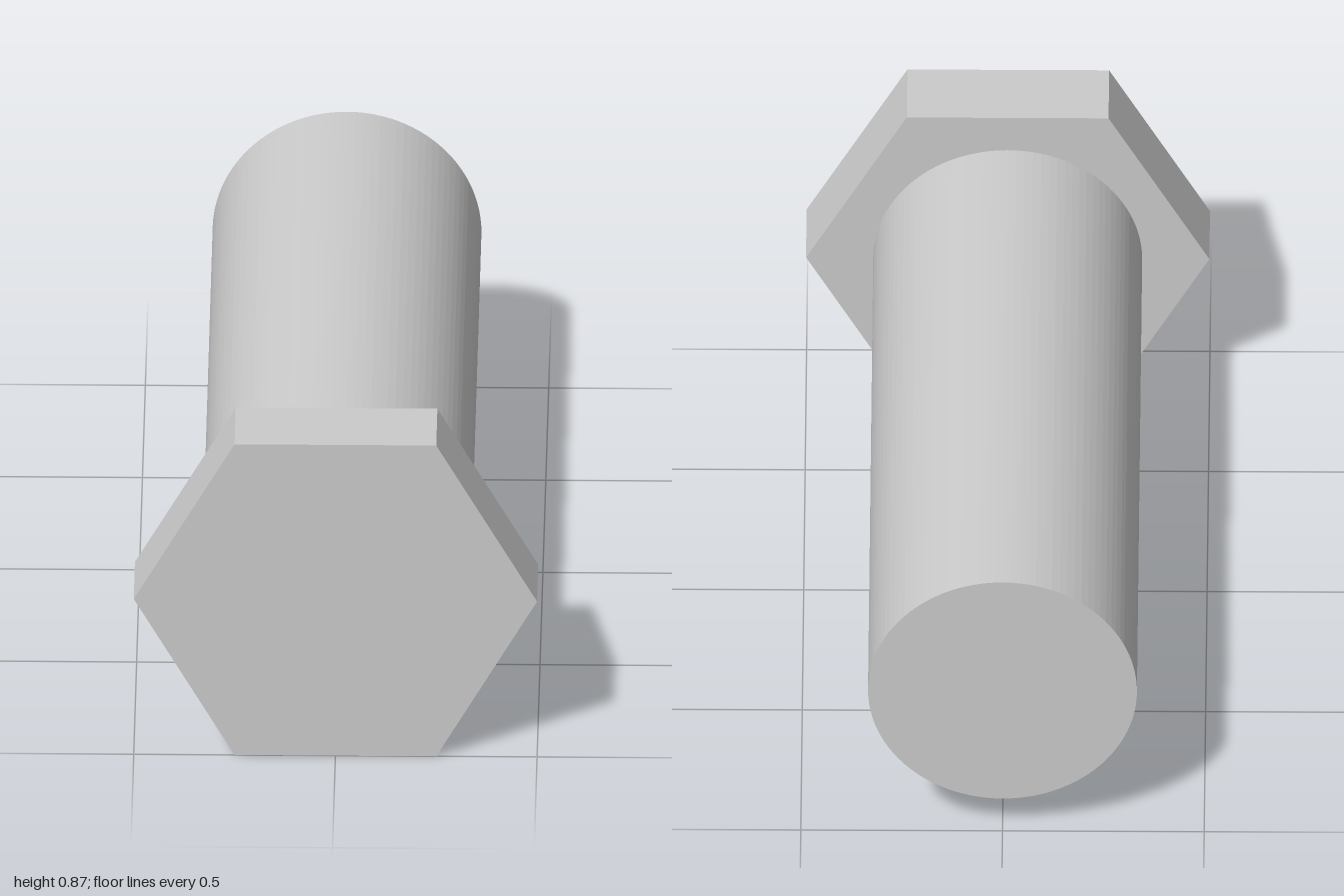
import * as THREE from 'three';

const HEAD_RADIUS = 0.5;                                // centre to corner
const AXIS_Y = HEAD_RADIUS * Math.cos(Math.PI / 6);     // head rests on a flat
const SHANK_RADIUS = 1 / 3;

// Prism along z, between zBack and zFront, with a corner on the x axis
function prism(name, radius, sides, zBack, zFront, material) {
  const geometry = new THREE.CylinderGeometry(
    radius, radius, zFront - zBack, sides, 1, false, Math.PI / 2);
  geometry.rotateX(Math.PI / 2);
  const mesh = new THREE.Mesh(geometry, material);
  mesh.name = name;
  mesh.position.set(0, AXIS_Y, (zBack + zFront) / 2);
  return mesh;
}

export function createModel() {
  const group = new THREE.Group();
  group.name = 'hexBolt';
  const material = new THREE.MeshStandardMaterial({ color: 0xcccccc, flatShading: true });

  // Six-sided head at the front, plain round shank behind it
  group.add(prism('head', HEAD_RADIUS, 6, 0.8, 1, material));
  group.add(prism('shank', SHANK_RADIUS, 100, -1, 0.8, material));
  return group;
}
